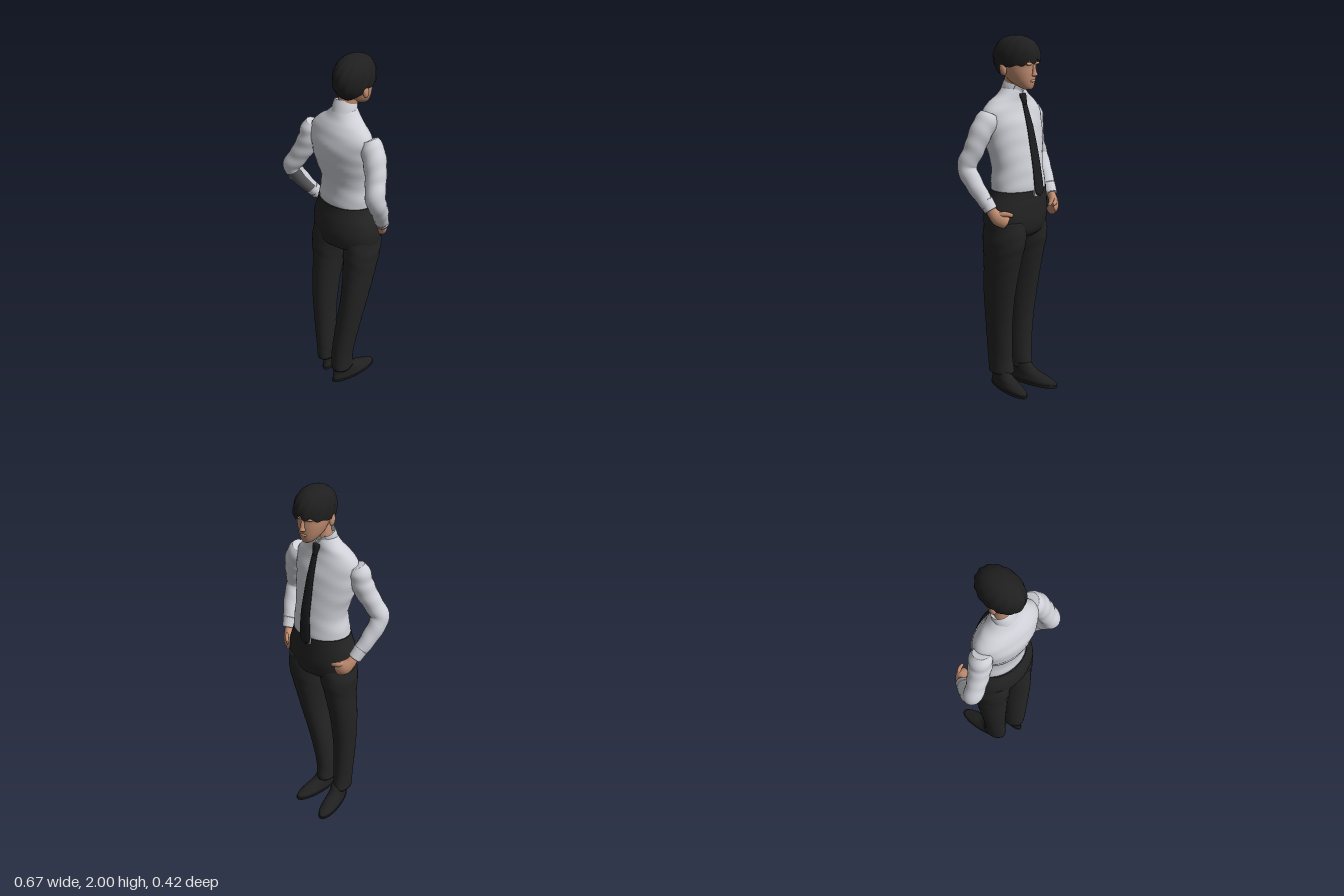
import * as THREE from 'three';

const paint = (name, color, side = THREE.FrontSide) => {
  const m = new THREE.MeshStandardMaterial({ color, side });
  m.name = name;
  return m;
};

// Catmull-Rom interpolation of rows of numbers
function smooth(rows, steps) {
  const out = [], at = i => rows[Math.max(0, Math.min(rows.length - 1, i))];
  for (let i = 0; i < rows.length - 1; i++)
    for (let s = 0; s < steps; s++) {
      const t = s / steps, [a, b, c, d] = [at(i - 1), at(i), at(i + 1), at(i + 2)];
      out.push(b.map((v, k) => v + 0.5 * t * (c[k] - a[k] +
        t * (2 * a[k] - 5 * v + 4 * c[k] - d[k] + t * (3 * (v - c[k]) + d[k] - a[k])))));
    }
  out.push(rows[rows.length - 1]);
  return out;
}

// Skin over rings of points, optionally capped; an open arc is not wrapped round
function skin(rings, caps = true, wrap = true) {
  const m = rings[0].length, n = rings.length, pos = [], idx = [];
  rings.forEach(r => r.forEach(p => pos.push(p.x, p.y, p.z)));
  for (let i = 0; i < n - 1; i++)
    for (let j = 0; j < (wrap ? m : m - 1); j++) {
      const a = i * m + j, c = i * m + (j + 1) % m;
      idx.push(a, a + m, c, a + m, c + m, c);
    }
  if (caps) [0, n - 1].forEach(i => {
    const mid = rings[i].reduce((s, p) => s.add(p), new THREE.Vector3()).divideScalar(m);
    const k = pos.length / 3;
    pos.push(mid.x, mid.y, mid.z);
    for (let j = 0; j < m; j++) {
      const a = i * m + j, b = i * m + (j + 1) % m;
      if (i === 0) idx.push(k, a, b); else idx.push(k, b, a);
    }
  });
  const g = new THREE.BufferGeometry();
  g.setAttribute('position', new THREE.Float32BufferAttribute(pos, 3));
  g.setIndex(idx);
  g.computeVertexNormals();
  return g;
}

// Level oval rings, bottom to top: [y, x, z, halfWidth, halfDepth, yaw]
function stack(rows, { caps = true, fold = 0, taper = 0, seg = 36 } = {}) {
  return skin(smooth(rows, 6).map(([y, cx, cz, rx, rz, yaw = 0]) =>
    Array.from({ length: seg }, (_, j) => {
      const t = j / seg * Math.PI * 2, f = 1 + fold * Math.sin(y * 75 + 2.5 * Math.sin(t * 2 + 1));
      const u = Math.cos(t) * rx * f * (1 + taper * Math.sin(t)), v = Math.sin(t) * rz * f;
      return new THREE.Vector3(cx + u * Math.cos(yaw) - v * Math.sin(yaw), y,
        cz + u * Math.sin(yaw) + v * Math.cos(yaw));
    })), caps);
}

// Round limb along a path of [x, y, z, radius]
function limb(rows, { ref = [0, 0, 1], fold = 0, flat = 1, arc = null, grow = 0 } = {}) {
  const pts = smooth(rows, 7), up = new THREE.Vector3(...ref), seg = 24;
  const P = i => new THREE.Vector3(...pts[Math.max(0, Math.min(pts.length - 1, i))].slice(0, 3));
  const rings = pts.map((p, i) => {
    const T = P(i + 1).sub(P(i - 1)).normalize();
    const e1 = T.clone().cross(up).normalize(), e2 = e1.clone().cross(T);
    return Array.from({ length: arc ? seg + 1 : seg }, (_, j) => {
      const t = arc ? arc[0] + (arc[1] - arc[0]) * j / seg : j / seg * Math.PI * 2;
      const r = p[3] * (1 + fold * Math.sin(p[1] * 85 + 2 * Math.cos(t))) + grow;
      return P(i).addScaledVector(e1, r * Math.cos(t) * flat).addScaledVector(e2, r * Math.sin(t));
    });
  });
  return skin(rings, !arc, !arc);
}

export function createModel() {
  const model = new THREE.Group();
  const shirt = paint('shirt white', 0xd0d1d8, THREE.DoubleSide);
  const shade = paint('sleeve grey', 0x5c5c60, THREE.DoubleSide);
  const cloth = paint('trouser black', 0x242424);
  const leather = paint('shoe black', 0x202020);
  const hairMat = paint('hair black', 0x1f1f20, THREE.DoubleSide);
  const tieMat = paint('tie black', 0x1c1c1f);
  const flesh = paint('skin', 0xc08c70);
  const metal = paint('buckle grey', 0xa8a8ac);
  const add = (name, geo, mat, parent = model) => {
    const m = new THREE.Mesh(geo, mat);
    m.name = name;
    parent.add(m);
    return m;
  };
  const ball = (name, mat, parent, p, s, rot = 0) => {
    const m = add(name, new THREE.SphereGeometry(1, 20, 14), mat, parent);
    m.position.set(...p);
    m.scale.set(...s);
    m.rotation.x = rot;
  };

  // Shirt body, turned slightly toward +x
  add('shirtBody', stack([
    [1.17, 0.03, -0.01, 0.165, 0.128, 0.2], [1.22, 0.032, -0.008, 0.166, 0.131, 0.2],
    [1.32, 0.035, -0.003, 0.153, 0.125, 0.22], [1.44, 0.024, 0.02, 0.178, 0.127, 0.24],
    [1.54, 0.022, 0.036, 0.192, 0.122, 0.25], [1.61, 0.023, 0.041, 0.19, 0.1, 0.25],
    [1.655, 0.025, 0.038, 0.15, 0.083, 0.24], [1.69, 0.028, 0.028, 0.1, 0.071, 0.2],
    [1.73, 0.03, 0.021, 0.064, 0.058, 0.15]], { fold: 0.008 }), shirt);

  // Sleeves: shoulder, elbow, cuff
  const rightSleeve = [[-0.155, 1.6, 0.015, 0.045], [-0.168, 1.56, 0.02, 0.06],
    [-0.188, 1.49, 0.027, 0.06], [-0.237, 1.4, 0.04, 0.053], [-0.285, 1.32, 0.043, 0.05],
    [-0.262, 1.23, -0.005, 0.045], [-0.215, 1.13, -0.07, 0.036]];
  const leftSleeve = [[0.2, 1.605, 0.068, 0.045], [0.22, 1.565, 0.075, 0.06],
    [0.248, 1.5, 0.095, 0.06], [0.268, 1.42, 0.12, 0.055], [0.285, 1.33, 0.152, 0.052],
    [0.285, 1.24, 0.105, 0.047], [0.264, 1.13, 0.035, 0.036]];
  add('rightSleeve', limb(rightSleeve, { fold: 0.03 }), shirt);
  add('leftSleeve', limb(leftSleeve, { fold: 0.03 }), shirt);
  add('sleevePatch', limb([[-0.286, 1.31, 0.038, 0.05], ...rightSleeve.slice(5, 6),
    [-0.232, 1.165, -0.047, 0.039]], { arc: [1.3, 2.9], grow: 0.004 }), shade);
  add('rightCuff', limb([[-0.228, 1.158, -0.053, 0.039], [-0.205, 1.11, -0.083, 0.036]]), shirt);
  add('leftCuff', limb([[0.267, 1.16, 0.052, 0.039], [0.262, 1.11, 0.022, 0.036]]), shirt);

  // Hands tucked into the pockets, thumbs outside
  const hand = { ref: [0, 1, 0], flat: 0.75 };
  add('rightHand', limb([[-0.208, 1.125, -0.073, 0.026], [-0.193, 1.09, -0.1, 0.031],
    [-0.163, 1.06, -0.122, 0.04], [-0.125, 1.04, -0.128, 0.032]], hand), flesh);
  add('rightThumb', limb([[-0.18, 1.085, -0.12, 0.014], [-0.14, 1.085, -0.147, 0.014],
    [-0.105, 1.075, -0.15, 0.01]], hand), flesh);
  add('leftHand', limb([[0.263, 1.125, 0.028, 0.026], [0.256, 1.09, 0.01, 0.031],
    [0.238, 1.06, -0.015, 0.04], [0.212, 1.035, -0.045, 0.032]], hand), flesh);
  add('leftThumb', limb([[0.252, 1.085, -0.01, 0.014], [0.232, 1.09, -0.05, 0.014],
    [0.208, 1.08, -0.08, 0.01]], hand), flesh);

  // Trousers: hips and two legs
  add('hips', stack([
    [0.925, 0.035, 0.008, 0.17, 0.09, 0.15], [0.96, 0.035, 0.008, 0.195, 0.13, 0.17],
    [1.03, 0.036, 0.006, 0.205, 0.146, 0.18], [1.1, 0.034, 0.002, 0.198, 0.144, 0.18],
    [1.16, 0.031, -0.005, 0.178, 0.137, 0.2], [1.195, 0.03, -0.008, 0.169, 0.134, 0.2]]), cloth);
  add('rightLeg', stack([
    [0.09, -0.078, 0.04, 0.05, 0.075], [0.2, -0.08, 0.045, 0.055, 0.07],
    [0.4, -0.088, 0.042, 0.063, 0.075], [0.6, -0.088, 0.03, 0.073, 0.09],
    [0.8, -0.076, 0.01, 0.085, 0.11], [0.92, -0.068, 0, 0.1, 0.125],
    [1.03, -0.05, 0, 0.1, 0.12]], { fold: 0.012 }), cloth);
  add('leftLeg', stack([
    [0.09, 0.055, 0.088, 0.057, 0.078], [0.2, 0.06, 0.095, 0.06, 0.075],
    [0.4, 0.088, 0.083, 0.067, 0.08], [0.6, 0.118, 0.06, 0.073, 0.094],
    [0.8, 0.133, 0.03, 0.088, 0.11], [0.92, 0.137, 0.016, 0.098, 0.125],
    [1.03, 0.13, 0.012, 0.1, 0.12]], { fold: 0.012 }), cloth);

  // Shoes, toes toward -z
  [['rightShoe', -0.065, -0.055, 0], ['leftShoe', 0.088, 0.02, -0.36]].forEach(([name, x, z, turn]) => {
    const shoe = new THREE.Group();
    shoe.name = name;
    shoe.position.set(x, 0, z);
    shoe.rotation.y = turn;
    add('upper', stack([[0.012, 0, 0, 0.046, 0.15], [0.03, 0, 0.003, 0.047, 0.147],
      [0.052, 0, 0.027, 0.042, 0.118], [0.08, 0, 0.062, 0.039, 0.08],
      [0.12, 0, 0.08, 0.037, 0.058]], { taper: -0.08 }), leather, shoe);
    add('sole', stack([[0, 0, 0, 0.046, 0.152], [0.008, 0, 0, 0.05, 0.156],
      [0.015, 0, 0, 0.049, 0.155]], { taper: -0.08 }), leather, shoe);
    model.add(shoe);
  });

  // Tie, knot and buckle
  add('tie', stack([
    [1.165, 0.053, -0.155, 0.004, 0.004, 0.2], [1.195, 0.054, -0.152, 0.033, 0.008, 0.2],
    [1.32, 0.06, -0.139, 0.031, 0.008, 0.2], [1.44, 0.056, -0.115, 0.027, 0.008, 0.22],
    [1.54, 0.052, -0.091, 0.022, 0.008, 0.24], [1.655, 0.045, -0.054, 0.015, 0.008, 0.2]],
  { seg: 20 }), tieMat);
  add('tieKnot', stack([[1.645, 0.045, -0.058, 0.013, 0.01, 0.2],
    [1.69, 0.043, -0.044, 0.022, 0.014, 0.2], [1.7, 0.043, -0.04, 0.018, 0.01, 0.2]]), tieMat);
  const buckle = add('buckle', new THREE.BoxGeometry(0.06, 0.035, 0.009), metal);
  buckle.position.set(0.055, 1.18, -0.142);
  buckle.rotation.y = -0.2;

  // Collar band and folded points
  const collar = add('collar', stack([[-0.035, 0, 0, 0.067, 0.06], [0, 0, 0, 0.066, 0.059],
    [0.03, 0, 0, 0.06, 0.055]], { caps: false }), shirt);
  collar.position.set(0.03, 1.733, 0.019);
  collar.rotation.x = -0.35;
  for (const s of [-1, 1]) {
    const flap = new THREE.Shape([[0, 0], [s * 0.05, 0.028], [s * 0.058, -0.015], [s * 0.032, -0.06]]
      .map(p => new THREE.Vector2(...p)));
    const m = add('collarPoint', new THREE.ExtrudeGeometry(flap, { depth: 0.006, bevelEnabled: false }), shirt);
    m.position.set(0.043, 1.713, -0.047);
    m.rotation.set(-0.3, -0.15 - s * 0.55, 0);
  }

  // Neck and head
  add('neck', limb([[0.03, 1.68, 0.025, 0.05], [0.04, 1.75, 0.012, 0.05], [0.055, 1.84, 0, 0.05]]), flesh);
  const head = new THREE.Group();
  head.name = 'head';
  head.position.x = 0.06;
  head.rotation.y = -0.1;
  model.add(head);
  add('face', stack([
    [1.727, 0, -0.09, 0.018, 0.02], [1.74, 0, -0.078, 0.038, 0.04],
    [1.77, 0, -0.053, 0.06, 0.072], [1.81, 0, -0.037, 0.074, 0.091],
    [1.845, 0, -0.028, 0.08, 0.1], [1.875, 0, -0.026, 0.082, 0.106],
    [1.92, 0, -0.022, 0.08, 0.1], [1.96, 0, -0.02, 0.055, 0.07]]), flesh, head);
  add('nose', stack([[1.795, 0, -0.126, 0.008, 0.006], [1.803, 0, -0.131, 0.016, 0.017],
    [1.82, 0, -0.13, 0.011, 0.013], [1.86, 0, -0.125, 0.008, 0.007]]), flesh, head);
  ball('lips', flesh, head, [0, 1.773, -0.12], [0.022, 0.008, 0.01]);
  for (const s of [-1, 1]) {
    ball('ear', flesh, head, [s * 0.086, 1.83, 0.005], [0.013, 0.032, 0.02], 0.2);
    ball('brow', flesh, head, [s * 0.032, 1.861, -0.119], [0.025, 0.008, 0.012]);
  }

  // Hair cap: low at the nape, ragged fringe in front, wavy locks
  const rings = [];
  for (let k = 0; k <= 22; k++)
    rings.push(Array.from({ length: 72 }, (_, j) => {
      const t = j / 72 * Math.PI * 2, s = Math.sin(t), front = Math.max(-s, 0);
      const edge = 1.845 - 0.06 * Math.max(s, 0) + 0.028 * front * front + 0.012 * Math.sin(t * 11) * front;
      const c = Math.cos(Math.acos((edge - 1.885) / 0.115) * (1 - k / 22));
      const wave = 1 + 0.022 * Math.sin(t * 13 + c * 6) * Math.sqrt(1 - c * c);
      const r = Math.pow(Math.max(0, 1 - Math.pow(Math.abs(c), 2.2)), 1 / 2.2) * wave;
      return new THREE.Vector3(Math.cos(t) * r * 0.096, 1.885 + c * 0.115, -0.019 + s * r * 0.135);
    }));
  add('hair', skin(rings, false), hairMat, head);
  return model;
}
